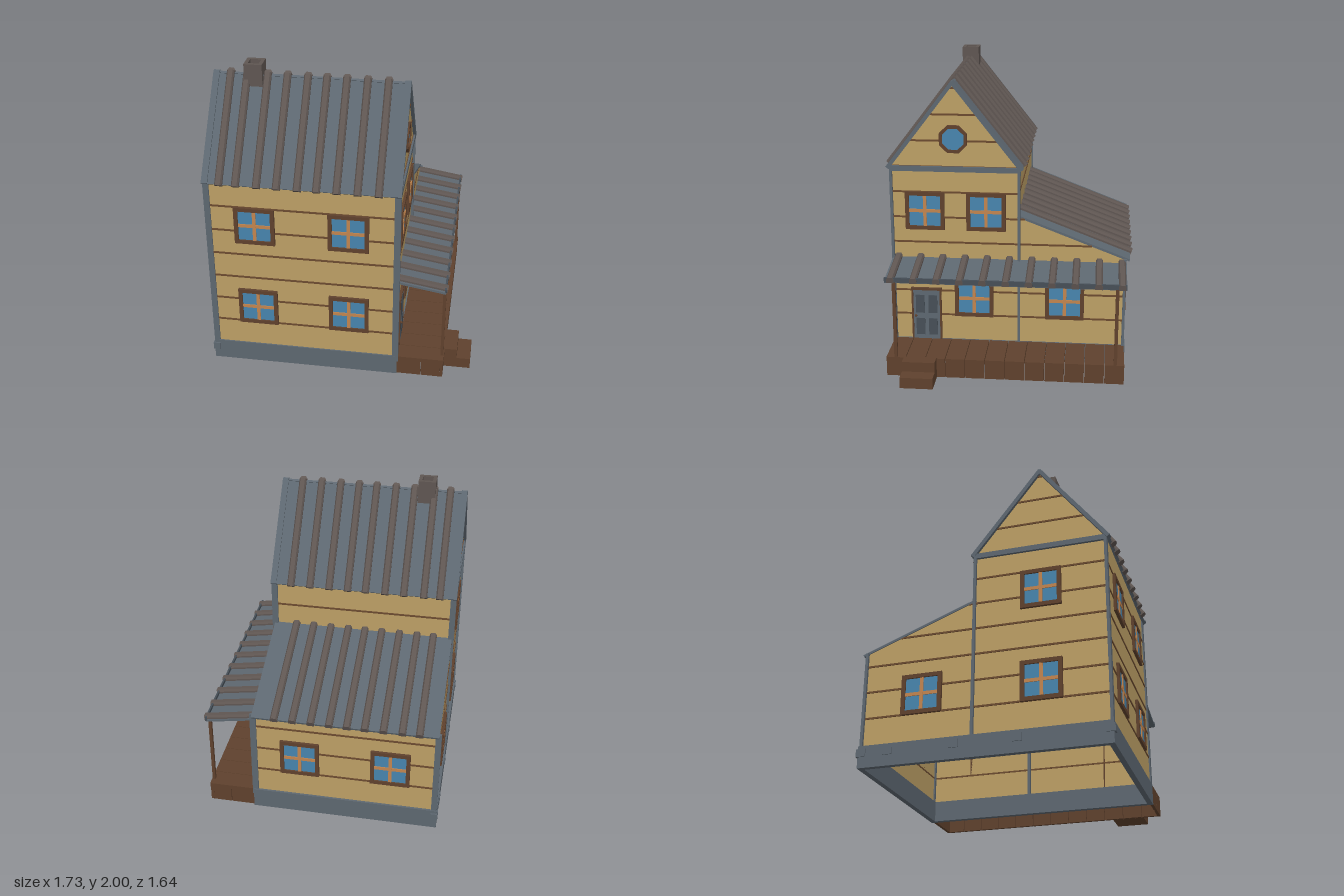
import * as THREE from 'three';

const mat = (name, color, side = THREE.FrontSide) => {
  const m = new THREE.MeshStandardMaterial({ color, side });
  m.name = name;
  return m;
};

export function createModel() {
  const house = new THREE.Group();
  house.name = 'house';

  const yellow = mat('yellow siding', 0xbc9f65, THREE.DoubleSide);
  const slate = mat('slate', 0x5d6770);
  const darkSlate = mat('dark slate', 0x464f57);
  const wood = mat('brown wood', 0x5f412d);
  const seam = mat('siding seam', 0x6b4a2f);
  const orange = mat('orange window bars', 0xc2854f);
  const blue = mat('blue glass', 0x4784ad);
  const grey = mat('brown grey', 0x5f5652);

  const add = (parent, name, geo, material, x = 0, y = 0, z = 0) => {
    const m = new THREE.Mesh(geo, material);
    m.name = name;
    m.position.set(x, y, z);
    parent.add(m);
    return m;
  };
  // box given by its min and max on each axis
  const box = (parent, name, material, x0, x1, y0, y1, z0, z1) =>
    add(parent, name, new THREE.BoxGeometry(x1 - x0, y1 - y0, z1 - z0), material,
      (x0 + x1) / 2, (y0 + y1) / 2, (z0 + z1) / 2);
  const group = (name) => {
    const g = new THREE.Group();
    g.name = name;
    house.add(g);
    return g;
  };

  const L = -0.84, R = 0.37, F = 0.78, B = -0.765, M = -0.06;   // wall planes
  const RIDGE = 0.365, TOP = 1.915, EAVE = 1.36;

  // Walls: two side outlines, front, back and the upper back wall
  const side = new THREE.Shape([
    [F, 0.02], [F, EAVE], [RIDGE, TOP], [M, EAVE], [M, 1.03], [B, 0.755], [B, 0.02],
  ].map(([z, y]) => new THREE.Vector2(-z, y)));
  const walls = group('walls');
  for (const [name, x] of [['rightWall', L], ['leftWall', R]])
    add(walls, name, new THREE.ShapeGeometry(side), yellow, x).rotation.y = Math.PI / 2;
  const sheet = (name, y0, y1, z) =>
    add(walls, name, new THREE.PlaneGeometry(R - L, y1 - y0), yellow, (L + R) / 2, (y0 + y1) / 2, z)
      .rotation.y = z > 0 ? 0 : Math.PI;
  sheet('frontWall', 0.02, EAVE, F);
  sheet('backWall', 0.02, 0.755, B);
  sheet('upperBackWall', 1.0, EAVE, M);

  // Siding seams, shortened where the roofs slope
  const seams = group('sidingSeams');
  const h = 0.006, d = 0.005;
  for (let i = 0; i < 10; i++) {
    const y = 0.32 + i * 0.1735;
    if (y < EAVE) box(seams, 'frontSeam', seam, L, R, y - h, y + h, F - 0.001, F + d);
    if (y < 0.75) box(seams, 'backSeam', seam, L, R, y - h, y + h, B - d, B + 0.001);
    else if (y > 1.05 && y < EAVE) box(seams, 'backSeam', seam, L, R, y - h, y + h, M - d, M + 0.001);
    const half = y > EAVE ? 0.42 * (TOP - y) / (TOP - EAVE) : 0.42;
    const zBack = y > 1.03 ? RIDGE - half : Math.max(B, M - (1.03 - y) * 2.56);
    for (const [x0, x1] of [[L - d, L + 0.001], [R - 0.001, R + d]])
      box(seams, 'sideSeam', seam, x0, x1, y - h, y + h, zBack, RIDGE + half);
  }

  // Hollow foundation
  const base = group('foundation');
  box(base, 'frontSill', slate, -0.86, 0.38, 0, 0.14, 0.755, 0.79);
  box(base, 'backSill', slate, -0.86, 0.38, 0, 0.14, -0.78, -0.745);
  box(base, 'rightSill', slate, -0.86, -0.825, 0, 0.14, -0.745, 0.755);
  box(base, 'leftSill', slate, 0.345, 0.38, 0, 0.14, -0.745, 0.755);
  for (const z of [-0.76, -0.59, -0.17, 0.22, 0.77])
    box(base, 'stone', slate, -0.866, -0.82, 0.07, 0.12, z - 0.03, z + 0.03);

  // Corner posts and gable bands
  const trim = group('trim');
  for (const [z, y] of [[F, EAVE], [M, EAVE], [B, 0.76]]) {
    const zc = z === M ? M - 0.002 : z;
    box(trim, 'cornerPost', slate, -0.858, -0.82, 0.1, y, zc - 0.009, zc + 0.009);
    box(trim, 'cornerPost', slate, 0.347, 0.388, 0.1, y, zc - 0.009, zc + 0.009);
  }
  box(trim, 'gableBand', slate, R - 0.01, 0.387, 1.33, 1.365, M, F);
  box(trim, 'gableBand', slate, -0.857, L + 0.01, 1.33, 1.365, M, F);

  // Roof slope falling along local +z, with raised ribs and edge boards
  const ribShape = new THREE.Shape([
    [-0.024, -0.012], [0.024, -0.012], [0.024, 0.012], [0.015, 0.026], [-0.015, 0.026], [-0.024, 0.012],
  ].map((p) => new THREE.Vector2(...p)));
  const roofSlope = (name, turn, [z0, y0], [z1, y1], x0, x1, ribs, edge) => {
    const outer = group(name);
    outer.rotation.y = turn;
    const g = new THREE.Group();
    g.name = name + 'Slope';
    g.position.set(0, y0, z0);
    g.rotation.x = Math.atan2(y0 - y1, z1 - z0);
    outer.add(g);
    const len = Math.hypot(z1 - z0, y1 - y0);
    box(g, 'roofSheet', slate, x0, x1, -0.015, 0, 0, len);
    const rib = new THREE.ExtrudeGeometry(ribShape, { depth: len + 0.012, bevelEnabled: false });
    for (const x of ribs) add(g, 'roofRib', rib, grey, x, 0, -0.004);
    if (edge) for (const x of [x0, x1])
      box(g, 'edgeBoard', slate, x - 0.02, x + 0.02, -0.018, 0.008, 0, len);
  };
  const ribsX = [-0.748, -0.642, -0.51, -0.385, -0.255, -0.135, -0.01, 0.12, 0.25];
  const leanX = [-0.72, -0.61, -0.49, -0.37, -0.255, -0.14, -0.02, 0.1, 0.22];
  const porchRibs = Array.from({ length: 11 }, (_, i) => -0.745 + i * 0.149);
  const flip = (list) => list.map((x) => -x);
  roofSlope('frontRoof', 0, [RIDGE, 1.925], [0.805, 1.352], -0.84, 0.37, ribsX, true);
  roofSlope('backRoof', Math.PI, [-RIDGE, 1.925], [0.085, 1.352], -0.37, 0.84, flip(ribsX), true);
  roofSlope('leanRoof', Math.PI, [0.055, 1.043], [0.797, 0.757], -0.372, 0.845, flip(leanX), false);
  roofSlope('porchRoof', Math.PI / 2, [0.37, 0.73], [0.685, 0.678], -0.785, 0.775, porchRibs, false);
  box(house, 'porchRoofLip', darkSlate, 0.675, 0.687, 0.668, 0.7, -0.775, 0.785);

  // Hollow chimney on the ridge
  const ring = (w, t) => {
    const s = new THREE.Shape([[-w, -w], [w, -w], [w, w], [-w, w]].map((p) => new THREE.Vector2(...p)));
    const i = w - t;
    s.holes.push(new THREE.Path([[-i, -i], [-i, i], [i, i], [i, -i]].map((p) => new THREE.Vector2(...p))));
    return s;
  };
  add(house, 'chimney', new THREE.ExtrudeGeometry(ring(0.058, 0.023), { depth: 0.16, bevelEnabled: false }),
    grey, -0.595, 1.84, 0.361).rotation.x = -Math.PI / 2;

  // Square windows facing local +z
  const frameGeo = new THREE.ExtrudeGeometry(ring(0.13, 0.026), { depth: 0.018, bevelEnabled: false });
  const windowAt = (x, y, z, turn) => {
    const g = group('window');
    g.position.set(x, y, z);
    g.rotation.y = turn;
    add(g, 'windowFrame', frameGeo, wood);
    box(g, 'glass', blue, -0.108, 0.108, -0.108, 0.108, 0.001, 0.008);
    box(g, 'windowBar', orange, -0.011, 0.011, -0.106, 0.106, 0.004, 0.014);
    box(g, 'windowBar', orange, -0.106, 0.106, -0.011, 0.011, 0.004, 0.0135);
  };
  const q = Math.PI / 2;
  for (const x of [-0.54, 0.06]) {
    windowAt(x, 1.06, F, 0);
    windowAt(x, 0.445, F, 0);
    windowAt(x, 0.445, B, Math.PI);
  }
  for (const [z, y] of [[0.56, 1.06], [0.155, 1.06], [0.24, 0.445], [-0.37, 0.445]]) windowAt(R, y, z, q);
  for (const [z, y] of [[RIDGE, 1.06], [RIDGE, 0.445], [-0.39, 0.445]]) windowAt(L, y, z, -q);

  // Eight-sided gable window
  const oct = (r) => Array.from({ length: 8 }, (_, i) =>
    new THREE.Vector2(r * Math.cos((i + 0.5) * q / 2), r * Math.sin((i + 0.5) * q / 2)));
  const octFrame = new THREE.Shape(oct(0.098));
  octFrame.holes.push(new THREE.Path(oct(0.076).reverse()));
  const gable = group('gableWindow');
  gable.position.set(R, 1.548, RIDGE);
  gable.rotation.y = q;
  add(gable, 'windowFrame', new THREE.ExtrudeGeometry(octFrame, { depth: 0.018, bevelEnabled: false }), wood);
  add(gable, 'glass', new THREE.ShapeGeometry(new THREE.Shape(oct(0.08))), blue, 0, 0, 0.008);

  // Door with raised panels
  const door = group('door');
  door.position.set(R, 0.14, 0.565);
  door.rotation.y = q;
  box(door, 'doorLeaf', slate, -0.09, 0.09, 0, 0.355, 0, 0.012);
  for (const s of [-1, 1]) {
    box(door, 'doorJamb', wood, s * 0.096 - 0.006, s * 0.096 + 0.006, 0, 0.36, 0, 0.016);
    for (const [y0, y1] of [[0.03, 0.15], [0.19, 0.32]])
      box(door, 'doorPanel', darkSlate, s * 0.043 - 0.03, s * 0.043 + 0.03, y0, y1, 0.01, 0.016);
  }
  box(door, 'doorLintel', wood, -0.104, 0.104, 0.356, 0.372, 0, 0.018);
  add(door, 'doorKnob', new THREE.SphereGeometry(0.009, 8, 6), wood, -0.074, 0.17, 0.02);

  // Porch: deck planks, skirt boards, posts and steps
  const porch = group('porch');
  const n = 12, w = 1.565 / n;
  for (let i = 0; i < n; i++) {
    const z = -0.775 + i * w;
    box(porch, 'deckPlank', wood, 0.378, 0.688, 0.11, 0.14, z + 0.002, z + w - 0.002);
    box(porch, 'skirtBoard', wood, 0.665, 0.685, 0.006, 0.11, z + 0.002, z + w - 0.002);
  }
  for (const z of [-0.773, 0.768])
    for (const [x0, x1] of [[0.378, 0.538], [0.542, 0.664]])
      box(porch, 'endBoard', wood, x0, x1, 0.006, 0.11, z, z + 0.02);
  for (const z of [-0.715, 0.725])
    box(porch, 'porchPost', wood, 0.664, 0.684, 0.14, 0.675, z - 0.011, z + 0.011);
  box(porch, 'upperStep', wood, 0.686, 0.77, 0.006, 0.148, 0.455, 0.67);
  box(porch, 'lowerStep', wood, 0.77, 0.86, 0.006, 0.08, 0.455, 0.67);

  return house;
}
